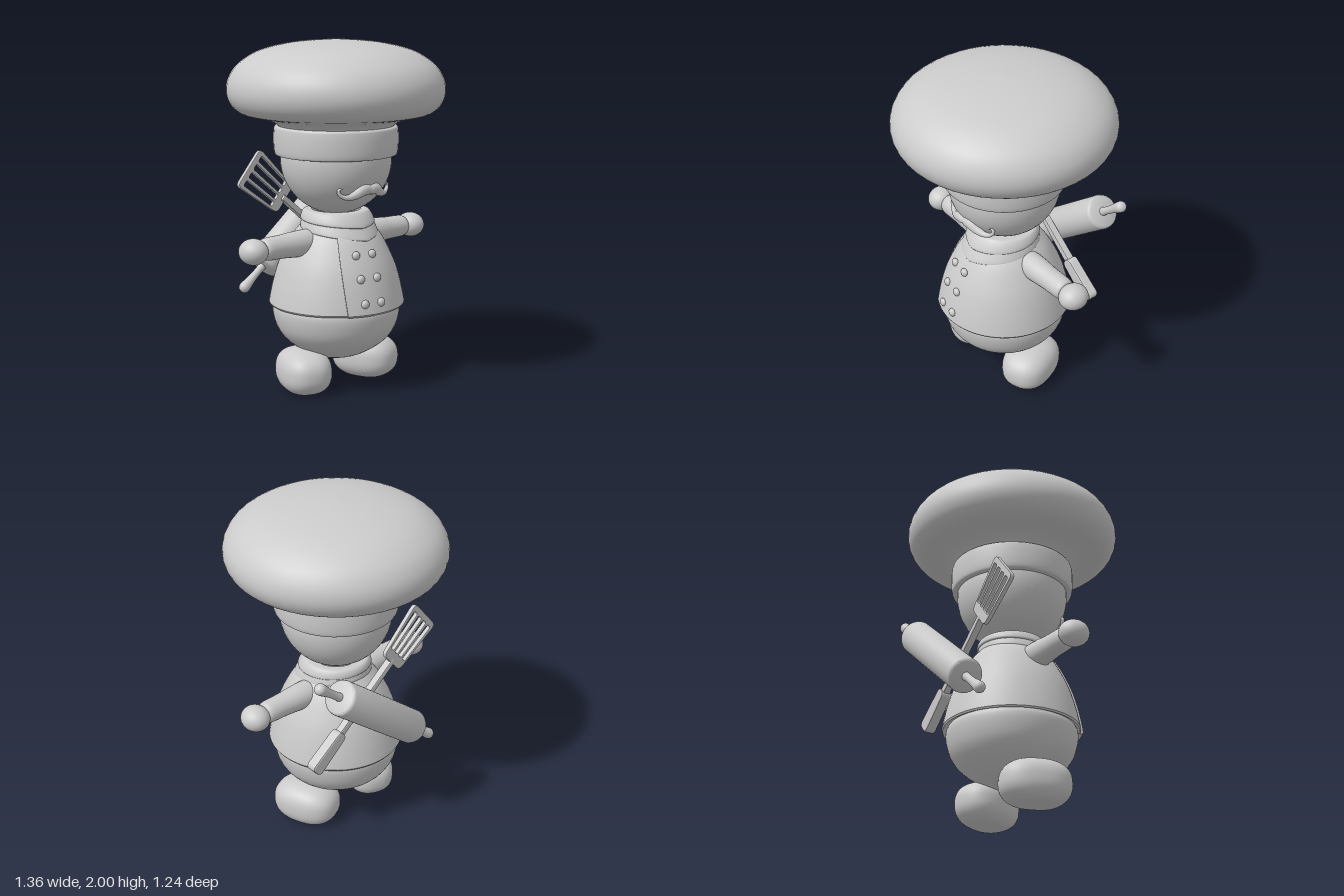
import * as THREE from 'three';
import { toCreasedNormals, mergeVertices } from 'three/addons/utils/BufferGeometryUtils.js';

const mat = new THREE.MeshStandardMaterial({ color: 0xcccccc });
const matDouble = new THREE.MeshStandardMaterial({ color: 0xcccccc, side: THREE.DoubleSide });

function add(parent, name, geo, pos = [0, 0, 0], material = mat) {
  const m = new THREE.Mesh(geo, material);
  m.name = name;
  m.position.set(...pos);
  parent.add(m);
  return m;
}

// Profile points [radius, y] run from bottom to top
const vecs = (pts) => pts.map(([x, y]) => new THREE.Vector2(x, y));
const smoothProfile = (pts, n) =>
  new THREE.SplineCurve(vecs(pts)).getPoints(n).map((p) => p.setX(Math.max(p.x, 0)));
const lathe = (pts, n = 32, seg = 48) => new THREE.LatheGeometry(smoothProfile(pts, n), seg);

// Moves every vertex by a rule
function reshape(geo, rule) {
  const p = geo.attributes.position;
  const v = new THREE.Vector3();
  for (let i = 0; i < p.count; i++) {
    v.fromBufferAttribute(p, i);
    rule(v, i);
    p.setXYZ(i, v.x, v.y, v.z);
  }
  return geo;
}

// Drops the seams and recomputes smooth normals
function smooth(geo) {
  geo.deleteAttribute('uv');
  geo.deleteAttribute('normal');
  const g = mergeVertices(geo, 1e-5);
  g.computeVertexNormals();
  return g;
}

// Round tube whose radius follows a list along its length
function taperTube(points, radii, n = 32, sides = 12) {
  const curve = new THREE.CatmullRomCurve3(points.map((p) => new THREE.Vector3(...p)));
  const geo = new THREE.TubeGeometry(curve, n, 1, sides);
  return reshape(geo, (v, i) => {
    const u = Math.floor(i / (sides + 1)) / n;
    const c = curve.getPointAt(u);
    const s = u * (radii.length - 1);
    const k = Math.min(Math.floor(s), radii.length - 2);
    v.sub(c).multiplyScalar(THREE.MathUtils.lerp(radii[k], radii[k + 1], s - k)).add(c);
  });
}

const JACKET = [[0.345, 0.5], [0.38, 0.485], [0.386, 0.495], [0.378, 0.54], [0.36, 0.62],
  [0.33, 0.72], [0.29, 0.81], [0.245, 0.89], [0.195, 0.95], [0.15, 1.0]];

function jacketRadius(y) {
  const k = JACKET.findIndex((p, i) => i > 1 && p[1] >= y);
  const [a, b] = [JACKET[k - 1], JACKET[k]];
  return THREE.MathUtils.mapLinear(y, a[1], b[1], a[0], b[0]);
}

// Wrapped jacket: the cloth spirals outward slightly so its edge overlaps
function jacketGeometry() {
  const rows = vecs(JACKET.slice(0, 3)).concat(smoothProfile(JACKET.slice(2), 24).slice(1));
  const seg = 64;
  const geo = new THREE.LatheGeometry(rows, seg);
  reshape(geo, (v, i) => {
    const col = Math.floor(i / rows.length);
    const r = Math.hypot(v.x, v.z);
    const start = -0.55 - 0.35 * Math.max(0, v.y - 0.5);
    const u = Math.max(0, col - 1) / (seg - 1);
    const phi = start + u * Math.PI * 2;
    const out = col === 0 ? 0 : 0.014 * (1 - u);
    v.set(Math.sin(phi) * (r + out), v.y, Math.cos(phi) * (r + out));
  });
  return toCreasedNormals(geo, 0.7);
}

// Neckerchief ring, drawn down to a point at the front
function scarfGeometry(pts) {
  const geo = lathe(pts, 28, 64);
  reshape(geo, (v) => {
    const k = Math.pow(1 - Math.abs(Math.atan2(v.x, v.z)) / Math.PI, 1.7);
    const t = THREE.MathUtils.clamp((1.03 - v.y) / 0.08, 0, 1);
    const r = Math.hypot(v.x, v.z);
    const s = (r + 0.07 * k * t) / r;
    v.set(v.x * s, v.y - 0.065 * k * t, v.z * s);
  });
  return smooth(geo);
}

function rollingPin() {
  const g = new THREE.Group();
  g.name = 'rollingPin';
  const body = [[0, -0.365], [0.085, -0.365], [0.096, -0.36], [0.1, -0.345],
    [0.1, 0.345], [0.096, 0.36], [0.085, 0.365], [0, 0.365]];
  add(g, 'pinRoller', toCreasedNormals(new THREE.LatheGeometry(vecs(body), 40), 0.9));
  for (const s of [1, -1]) {
    const handle = add(g, 'pinHandle', lathe([[0.025, 0], [0.022, 0.05], [0.025, 0.11],
      [0.032, 0.165], [0.031, 0.19], [0.018, 0.206], [0, 0.21]], 24, 20), [0, s * 0.36, 0]);
    if (s < 0) handle.rotation.x = Math.PI;
  }
  g.position.set(0.078, 0.88, -0.43);
  g.rotation.z = -0.89;
  return g;
}

// Rounded four-sided outline, w0 wide at y0 and w1 wide at y1
function roundedOutline(target, w0, y0, w1, y1, r) {
  const c = [[-w0, y0], [w0, y0], [w1, y1], [-w1, y1]].map(([x, y]) => new THREE.Vector2(x / 2, y));
  c.forEach((p, i) => {
    const step = (q) => q.clone().sub(p).setLength(r).add(p);
    const a = step(c[(i + 3) % 4]), b = step(c[(i + 1) % 4]);
    if (i) target.lineTo(a.x, a.y); else target.moveTo(a.x, a.y);
    target.quadraticCurveTo(p.x, p.y, b.x, b.y);
  });
  target.closePath();
  return target;
}

function plate(shape, depth, bevel) {
  const geo = new THREE.ExtrudeGeometry(shape, { depth: depth - 2 * bevel, bevelEnabled: true,
    bevelSize: bevel, bevelOffset: -bevel, bevelThickness: bevel, bevelSegments: 2, curveSegments: 6 });
  return geo.translate(0, 0, bevel - depth / 2);
}

function spatula() {
  const g = new THREE.Group();
  g.name = 'spatula';
  const blade = roundedOutline(new THREE.Shape(), 0.19, 0.75, 0.26, 1.09, 0.035);
  for (let i = 0; i < 4; i++) {
    const slot = roundedOutline(new THREE.Path(), 0.03, 0.81, 0.036, 1.055, 0.012);
    const lean = (i - 1.5) * 0.055;
    const pts = slot.getPoints(5).map((p) => new THREE.Vector2(p.x + lean * (0.85 + (p.y - 0.81) * 0.7), p.y));
    blade.holes.push(new THREE.Path(pts));
  }
  add(g, 'spatulaBlade', plate(blade, 0.026, 0.004), [0, 0, -0.008]);
  add(g, 'spatulaShaft', plate(roundedOutline(new THREE.Shape(), 0.045, 0.2, 0.035, 0.78, 0.01), 0.045, 0.008));
  add(g, 'spatulaGrip', plate(roundedOutline(new THREE.Shape(), 0.095, 0, 0.075, 0.27, 0.035), 0.064, 0.01));
  g.position.set(0.44, 0.58, -0.298);
  g.rotation.z = 0.877;
  return g;
}

// Boxy ovoid with a flat sole
function footGeometry() {
  const soft = (a) => Math.sign(a) * Math.pow(Math.abs(a), 0.82);
  return smooth(reshape(new THREE.SphereGeometry(1, 40, 28), (v) => {
    v.set(soft(v.x) * 0.15, Math.max(0, 0.115 + soft(v.y) * 0.132), soft(v.z) * 0.2);
  }));
}

export function createModel() {
  const model = new THREE.Group();
  model.name = 'chef';

  // Body and clothes
  add(model, 'trousers', lathe([[0, 0.155], [0.1, 0.17], [0.19, 0.205], [0.28, 0.265],
    [0.335, 0.33], [0.362, 0.4], [0.37, 0.47], [0.35, 0.51]]));
  add(model, 'jacket', jacketGeometry(), [0, 0, 0], matDouble);
  add(model, 'scarf', scarfGeometry([[0.15, 0.965], [0.19, 0.945], [0.198, 0.955], [0.192, 0.99],
    [0.186, 1.015], [0.175, 1.032], [0.14, 1.035]]), [0, 0, 0], matDouble);
  add(model, 'scarfFold', scarfGeometry([[0.17, 0.985], [0.194, 0.985], [0.201, 0.995],
    [0.196, 1.018], [0.182, 1.033], [0.15, 1.035]]), [0, 0, 0], matDouble);

  // Two columns of buttons
  for (const [y, x0] of [[0.815, -0.1], [0.69, -0.11], [0.555, -0.11]]) {
    for (const x of [x0, x0 + 0.105]) {
      const r = jacketRadius(y) + 0.014;
      const b = add(model, 'button', new THREE.SphereGeometry(0.025, 20, 14), [x, y, Math.sqrt(r * r - x * x)]);
      b.scale.z = 0.75;
    }
  }

  // Head and hat
  add(model, 'head', new THREE.SphereGeometry(0.32, 48, 32), [0, 1.33, 0]);
  add(model, 'hatBand', lathe([[0.29, 1.352], [0.335, 1.35], [0.351, 1.362], [0.357, 1.42],
    [0.355, 1.49], [0.345, 1.515], [0.3, 1.522]]), [0, 0, 0], matDouble);
  add(model, 'hatCrown', lathe([[0.325, 1.5], [0.345, 1.528], [0.4, 1.556], [0.47, 1.572],
    [0.545, 1.592], [0.597, 1.64], [0.62, 1.71], [0.605, 1.79], [0.545, 1.87], [0.42, 1.942],
    [0.22, 1.985], [0, 2.0]], 48));

  // Arms, hands, feet and moustache halves, mirrored
  const foot = footGeometry();
  for (const s of [1, -1]) {
    const side = s > 0 ? 'left' : 'right';
    const arm = add(model, side + 'Arm', lathe([[0.07, 0], [0.076, 0.06], [0.073, 0.14], [0.067, 0.22],
      [0.065, 0.31], [0.06, 0.345], [0.045, 0.36], [0, 0.362]], 28, 28), [s * 0.18, 0.865, 0]);
    arm.rotation.z = -s * Math.PI / 2;
    add(model, side + 'Hand', new THREE.SphereGeometry(1, 28, 20), [s * 0.6, 0.863, 0]).scale.set(0.08, 0.073, 0.088);
    add(model, side + 'Foot', foot, [s * 0.24, 0, -0.01]).rotation.y = s * 0.35;
    const path = [[-0.015, 1.172, 0.275], [0.04, 1.182, 0.278], [0.09, 1.155, 0.268], [0.135, 1.142, 0.252],
      [0.172, 1.155, 0.235], [0.184, 1.18, 0.23], [0.172, 1.193, 0.235], [0.158, 1.187, 0.243]];
    add(model, side + 'Moustache', taperTube(path.map(([x, y, z]) => [s * x, y, z]),
      [0.02, 0.034, 0.034, 0.029, 0.024, 0.018, 0.014, 0.011, 0.01, 0]));
  }

  // Tools carried on the back
  model.add(rollingPin(), spatula());
  return model;
}
